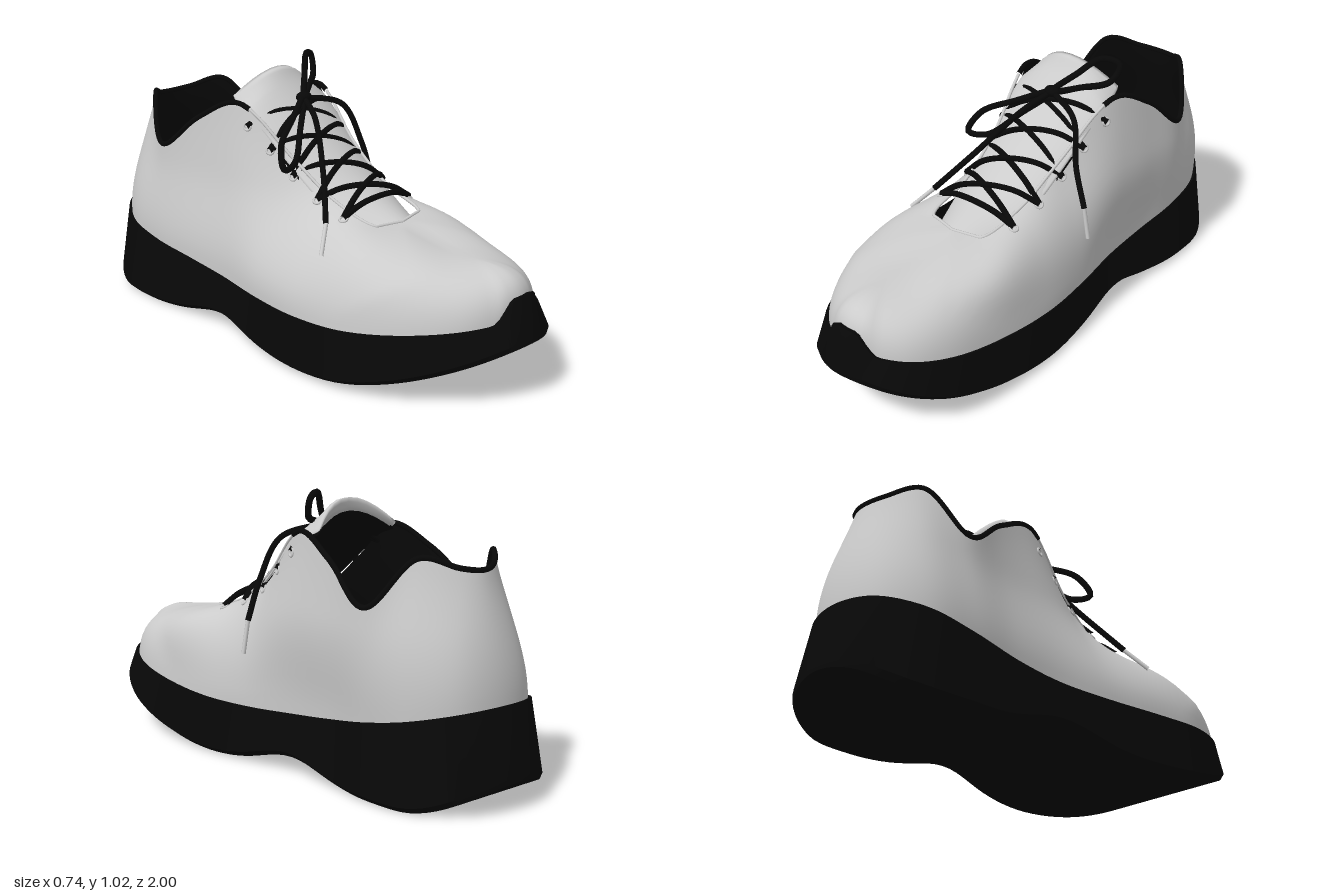
import * as THREE from 'three';
import { mergeVertices, toCreasedNormals } from 'three/addons/utils/BufferGeometryUtils.js';

const V = (x, y, z) => new THREE.Vector3(x, y, z);
const ss = THREE.MathUtils.smoothstep;
const mix = THREE.MathUtils.lerp;
const grey = new THREE.MeshStandardMaterial({ color: 0xcccccc });
const black = new THREE.MeshStandardMaterial({ color: 0x080808 });
const ROWS = 24; // 13 stations down one side, mirrored back to the toe

// The foot curves a little: sideways shift of the centre line
function shift(p) {
  const upperLean = 0.045 * ss(p.y, 0.25, 0.6) * (0.4 + 0.6 * ss(p.z, -0.8, -0.3));
  p.x += Math.max(upperLean, 0.05 * ss(p.z, 0.4, 0.95));
  return p;
}

// Closed rail around the shoe through stations from toe to heel
function rail(side) {
  const other = side.slice(1, -1).reverse().map(p => V(-p.x, p.y, p.z));
  const curve = new THREE.CatmullRomCurve3([...side, ...other], true, 'centripetal');
  return u => {
    const p = curve.getPoint(u);
    p.x = u <= 0.5 ? Math.max(0, p.x) : Math.min(0, p.x);
    return p;
  };
}

// Grid surface: section(u) returns the points across the surface
function loft(section, nu, flip = false) {
  const pos = [], index = [];
  let n = 0;
  for (let i = 0; i <= nu; i++) {
    const pts = section(i / nu);
    n = pts.length;
    pts.forEach(p => pos.push(p.x, p.y, p.z));
  }
  for (let i = 0; i < nu; i++) for (let j = 0; j < n - 1; j++) {
    const a = i * n + j, b = a + n, c = b + 1, d = a + 1;
    index.push(...(flip ? [a, c, b, a, d, c] : [a, b, c, a, c, d]));
  }
  let g = new THREE.BufferGeometry();
  g.setAttribute('position', new THREE.Float32BufferAttribute(pos, 3));
  g.setIndex(index);
  g = mergeVertices(g, 1e-4);
  g.computeVertexNormals();
  return g;
}

function tube(points, radius, segments = 32, closed = false) {
  const curve = new THREE.CatmullRomCurve3(points, closed);
  return new THREE.TubeGeometry(curve, segments, radius, 8, closed);
}

// Sole plan (half width, z) and the throat and collar line, toe to heel
const plan = rail([[0, .95], [.115, .918], [.21, .85], [.295, .71], [.35, .5], [.357, .25], [.33, .02], [.297, -.2],
  [.292, -.4], [.3, -.6], [.275, -.78], [.17, -.91], [0, -.953]].map(([x, z]) => V(x, 0, z)));
const topRail = rail([V(0, .465, .78), V(0, .467, .72), V(0, .478, .59), V(0, .512, .41), V(.115, .518, .39),
  V(.14, .575, .2), V(.16, .69, .02), V(.215, .872, -.22), V(.25, .79, -.41), V(.275, .655, -.59),
  V(.18, .822, -.73), V(.08, .79, -.82), V(0, .78, -.845)]);

// The front of the throat (stations 3 to 4) runs straight across
function topLine(u) {
  const row = Math.min(u, 1 - u) * ROWS;
  if (row <= 3 || row >= 4) return topRail(u);
  const at = r => topRail((u < 0.5 ? r : ROWS - r) / ROWS);
  return at(3).lerp(at(4), row - 3);
}

// Upper edge of the sole, with the raised tab at the toe
function soleEdge(u) {
  const p = plan(u);
  const tab = 0.08 * (1 - ss(Math.abs(p.x), 0.04, 0.125)) * ss(p.z, 0.75, 0.9);
  p.y = 0.212 + 0.13 * (p.z - 0.08) ** 2 + tab;
  return p;
}

// Underside height: toe spring, arch and heel bevel
const underside = z => 0.235 * Math.max(0, (z - 0.15) / 0.85) ** 2.2
  + 0.062 * Math.exp(-(((z + 0.2) / 0.2) ** 2))
  + 0.1 * Math.max(0, (-z - 0.7) / 0.3) ** 2.5;

function soleSection(u) {
  const t = soleEdge(u);
  const x = t.x * mix(1.065, 1.03, ss(t.z, -0.3, 0.2)), z = t.z * 1.05, y = underside(z);
  return [
    V(0, y, z), V(x * 0.93, y, z), V(x, y + 0.02, z), t,
    V(t.x * 0.6, t.y - 0.04, t.z * 0.9), V(0, t.y - 0.05, t.z * 0.9),
  ].map(shift);
}

// Section of the upper: full and round at the toe, straighter along the walls
function upperCurve(u) {
  const t = topLine(u), b = soleEdge(u);
  b.set(b.x * 0.98, Math.min(b.y - 0.02, 0.33), b.z * 0.985);
  const full = ss(b.z, 0, 0.55);
  const c1 = V(b.x * mix(1.05, 0.96, full), mix(b.y, t.y, mix(0.4, 0.62, full)), b.z);
  const c2 = b.clone().lerp(t, mix(0.6, 0.24, full));
  c2.y = mix(b.y, t.y, mix(0.66, 0.98, full));
  return new THREE.CubicBezierCurve3(b, c1, c2, t);
}
const upperPoint = (u, v) => shift(upperCurve(u).getPoint(v));
const upperSection = u => upperCurve(u).getPoints(14).map(shift);

// Lining: set in from the upper, meeting it at the collar
const liningSection = u => upperCurve(u).getPoints(14).map((p, k) => {
  const inset = 1 - (k / 14) ** 8;
  const throat = ss(p.z, -0.25, -0.1);
  return shift(V(p.x * (1 - 0.07 * Math.max(inset, throat)), p.y - 0.06 * throat, p.z * (1 - 0.025 * inset)));
});

// Tongue: arched, flattened tube along the throat (half width, y, z)
const tongueSpine = new THREE.CatmullRomCurve3(
  [V(.1, .485, .43), V(.16, .585, .2), V(.18, .72, .01), V(.2, .9, -.18), V(.18, .978, -.235)]);
function tongueSection(u) {
  const p = tongueSpine.getPoint(u);
  const thick = 0.016 * (1 - ss(u, 0.93, 1)), drop = 0.045 + 0.05 * ss(u, 0.6, 1);
  return Array.from({ length: 29 }, (_, k) => {
    const c = Math.cos(k / 14 * Math.PI), s = Math.sin(k / 14 * Math.PI);
    return V(0.045 + p.x * c, p.y - drop * c * c + thick * s,
      p.z + thick * s * 0.6 - 0.055 * c * c * ss(u, 0.7, 1));
  });
}

export function createModel() {
  const shoe = new THREE.Group();
  const add = (name, geometry, material, parent = shoe) => {
    const m = new THREE.Mesh(geometry, material);
    m.name = name;
    parent.add(m);
    return m;
  };
  const group = name => {
    const g = new THREE.Group();
    g.name = name;
    shoe.add(g);
    return g;
  };
  const doubleSided = material => {
    const m = material.clone();
    m.side = THREE.DoubleSide;
    return m;
  };

  add('sole', toCreasedNormals(loft(soleSection, ROWS * 6), 0.6), black);
  add('upper', loft(upperSection, ROWS * 6), grey);
  add('lining', loft(liningSection, ROWS * 6, true), black);
  add('tongue', loft(tongueSection, 32), doubleSided(grey));
  const tongueLining = loft(u => tongueSection(u * 0.92), 32).translate(0, -0.008, -0.008);
  add('tongueLining', tongueLining, doubleSided(black));

  // Edge binding around the collar and the throat
  const edge = (from, to, n) => Array.from({ length: n + 1 }, (_, i) =>
    shift(topLine(mix(from, to, i / n) / ROWS)));
  add('collarTrim', tube(edge(6.8, 17.2, 60), 0.01, 120), black);
  add('throatTrimLeft', tube(edge(3, 6.8, 19), 0.006, 60), grey);
  add('throatTrimRight', tube(edge(17.2, 21, 19), 0.006, 60), grey);

  // Eyelets lie on the upper beside the throat
  const eyelets = group('eyelets');
  const holes = [4.65, 5.3, 5.95, 6.4, 6.82].map(row => [row, ROWS - row].map(r => {
    const u = r / ROWS, p = upperPoint(u, 0.9);
    const along = upperPoint(u + 0.004, 0.9).sub(p), up = upperPoint(u, 0.93).sub(p);
    const normal = along.cross(up).normalize();
    const ring = add('eyelet', new THREE.TorusGeometry(0.014, 0.005, 6, 14), grey, eyelets);
    ring.position.copy(p);
    ring.quaternion.setFromUnitVectors(V(0, 0, 1), normal);
    return p.addScaledVector(normal, 0.005);
  }));

  // Criss-cross lacing arched over the tongue
  const laces = group('laces');
  const cross = (a, b, height) => {
    const pts = [0, 0.22, 0.5, 0.78, 1].map(t => {
      const lift = height * Math.sin(t * Math.PI) ** 0.6;
      return a.clone().lerp(b, t).add(V(0, lift, lift * 0.3));
    });
    add('lace', tube(pts, 0.011, 24), black, laces);
  };
  cross(...holes[0], 0.045);
  for (let i = 0; i < 4; i++) {
    const height = 0.055 + 0.008 * i;
    cross(holes[i][0], holes[i + 1][1], height);
    cross(holes[i][1], holes[i + 1][0], height + 0.014);
  }
  cross(...holes[4], 0.08);

  // Bow: knot, two loops and two loose ends with tips
  const bow = group('bow');
  const centre = V(.06, .875, -.11);
  const knot = add('knot', new THREE.SphereGeometry(0.026, 14, 10), black, bow);
  knot.position.copy(centre);
  knot.scale.set(1.3, 0.8, 1);
  const loop = (name, tip, side) => {
    const at = (t, w) => centre.clone().lerp(tip, t).addScaledVector(side, w);
    const path = [centre, at(0.4, 0.6), at(0.8, 1), tip, at(0.8, -1), at(0.4, -0.6)];
    add(name, tube(path, 0.012, 56, true), black, bow);
  };
  loop('loopLeft', V(.25, .985, -.26), V(-.02, .04, 0));
  loop('loopRight', V(-.21, .685, .06), V(-.025, .035, -.01));
  const looseEnd = (side, path, tip) => {
    add('laceEnd' + side, tube([centre, ...path], 0.011), black, bow);
    add('laceTip' + side, tube([path.at(-1), tip], 0.008, 4), grey, bow);
  };
  looseEnd('Left', [V(.21, .83, -.05), V(.265, .68, 0), V(.315, .53, .01)], V(.337, .41, .01));
  looseEnd('Right', [V(.01, .82, 0), V(-.1, .66, .15), V(-.2, .525, .26)], V(-.275, .44, .31));
  return shoe;
}
